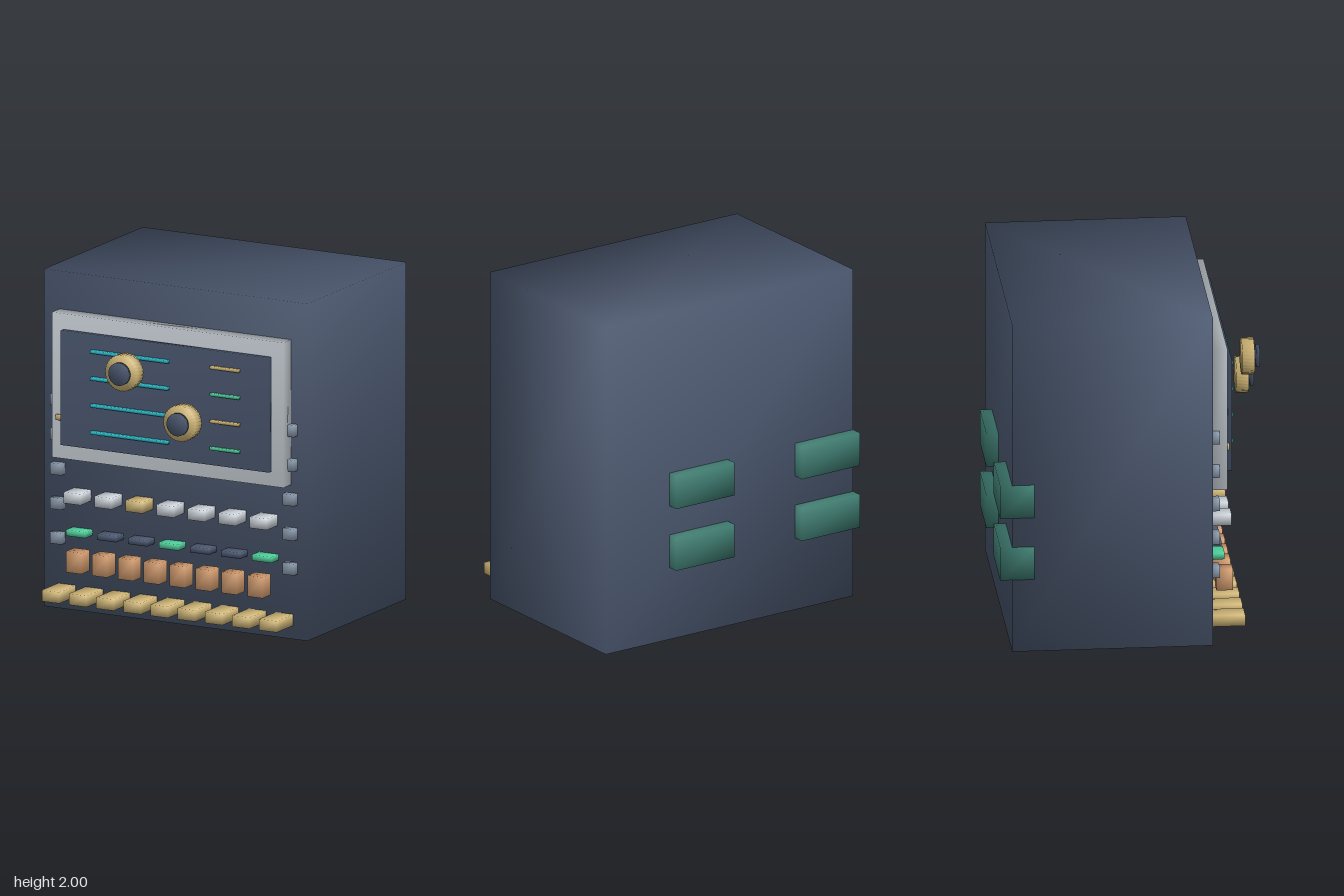
import * as THREE from 'three';
import { mergeVertices } from 'three/addons/utils/BufferGeometryUtils.js';

const COLORS = {
  slate: 0x4b5870, silver: 0xccd3da, steel: 0x8f9fb2, gold: 0xd0b677, copper: 0xd79f70,
  cyan: 0x2cbccb, mint: 0x4fcf9c, pine: 0x3d7a6f,
};

// Weld corners so shading runs smoothly across every edge
function soften(geometry) {
  geometry.deleteAttribute('uv');
  geometry.deleteAttribute('normal');
  const welded = mergeVertices(geometry);
  welded.computeVertexNormals();
  return welded;
}

export function createModel() {
  const model = new THREE.Group();
  model.name = 'controlCabinet';
  const mats = {};
  for (const [name, color] of Object.entries(COLORS)) {
    mats[name] = new THREE.MeshStandardMaterial({ color });
    mats[name].name = name;
  }

  function add(name, geometry, mat, x, y, z, parent = model) {
    const mesh = new THREE.Mesh(soften(geometry), mats[mat]);
    mesh.name = name;
    mesh.position.set(x, y, z);
    parent.add(mesh);
    return mesh;
  }

  // Box given by its x, y and z ranges
  function block(name, mat, [x0, x1], [y0, y1], [z0, z1], parent) {
    return add(name, new THREE.BoxGeometry(x1 - x0, y1 - y0, z1 - z0), mat,
      (x0 + x1) / 2, (y0 + y1) / 2, (z0 + z1) / 2, parent);
  }

  // Evenly spaced row of equal keys, centred on x = 0
  function keyRow(name, count, step, width, yRange, zRange, matAt) {
    const row = new THREE.Group();
    row.name = name + 'Row';
    model.add(row);
    for (let i = 0; i < count; i++) {
      const x = (i - (count - 1) / 2) * step;
      block(name, matAt(i), [x - width / 2, x + width / 2], yRange, zRange, row);
    }
  }

  // Cabinet, bezel and screen
  block('cabinet', 'slate', [-0.87, 0.87], [0, 2], [-0.71, 0.453]);
  block('bezel', 'silver', [-0.767, 0.763], [0.915, 1.775], [0.44, 0.545]);
  block('screen', 'slate', [-0.69, 0.685], [1.003, 1.683], [0.53, 0.577]);
  block('indicator', 'gold', [-0.735, -0.685], [1.143, 1.175], [0.53, 0.56]);

  // Long and short bars on the screen
  [1.585, 1.425, 1.265, 1.105].forEach((y, i) => {
    const yRange = [y - 0.009, y + 0.009];
    block('longBar', 'cyan', [-0.482, 0.03], yRange, [0.575, 0.602]);
    block('shortBar', i % 2 ? 'mint' : 'gold', [0.305, 0.495], yRange, [0.572, 0.596]);
  });

  // Knobs with a finely ridged rim and a dark cap
  for (const [x, y] of [[-0.195, 1.523], [0.19, 1.27]]) {
    const knob = new THREE.Group();
    knob.name = 'knob';
    knob.position.set(x, y, 0);
    model.add(knob);
    const rim = new THREE.CylinderGeometry(0.108, 0.108, 0.072, 64).rotateX(Math.PI / 2);
    const p = rim.attributes.position;
    for (let i = 0; i < p.count; i++) {
      const tooth = Math.round(Math.atan2(p.getY(i), p.getX(i)) * 32 / Math.PI);
      const s = tooth % 2 ? 0.965 : 1;
      p.setXY(i, p.getX(i) * s, p.getY(i) * s);
    }
    add('knobRim', rim, 'gold', 0, 0, 0.711, knob);
    add('knobCap', new THREE.CylinderGeometry(0.067, 0.067, 0.022, 32).rotateX(Math.PI / 2),
      'slate', 0, 0, 0.769, knob);
  }

  // Key rows from top to bottom
  keyRow('upperKey', 7, 0.205, 0.112, [0.66, 0.726], [0.445, 0.578], i => (i === 2 ? 'gold' : 'silver'));
  keyRow('lightKey', 7, 0.205, 0.128, [0.457, 0.492], [0.445, 0.537], i => (i % 3 ? 'slate' : 'mint'));
  keyRow('copperKey', 8, 0.171, 0.1, [0.255, 0.38], [0.492, 0.588], () => 'copper');
  keyRow('lowerKey', 9, 0.1795, 0.115, [0.08, 0.147], [0.453, 0.647], () => 'gold');

  // Fastener studs down both edges of the front
  for (const side of [-1, 1]) {
    for (let i = 0; i < 5; i++) {
      const y = 0.423 + i * 0.205, x = side * 0.768;
      block('stud', 'steel', [x - 0.037, x + 0.037], [y - 0.034, y + 0.034], [0.445, 0.497]);
    }
  }

  // Vent plates set into the back
  for (const x of [-0.872, 0.012]) {
    for (const y of [0.44, 0.818]) {
      block('ventPlate', 'pine', [x, x + 0.41], [y, y + 0.2], [-0.78, -0.58]);
    }
  }

  return model;
}
